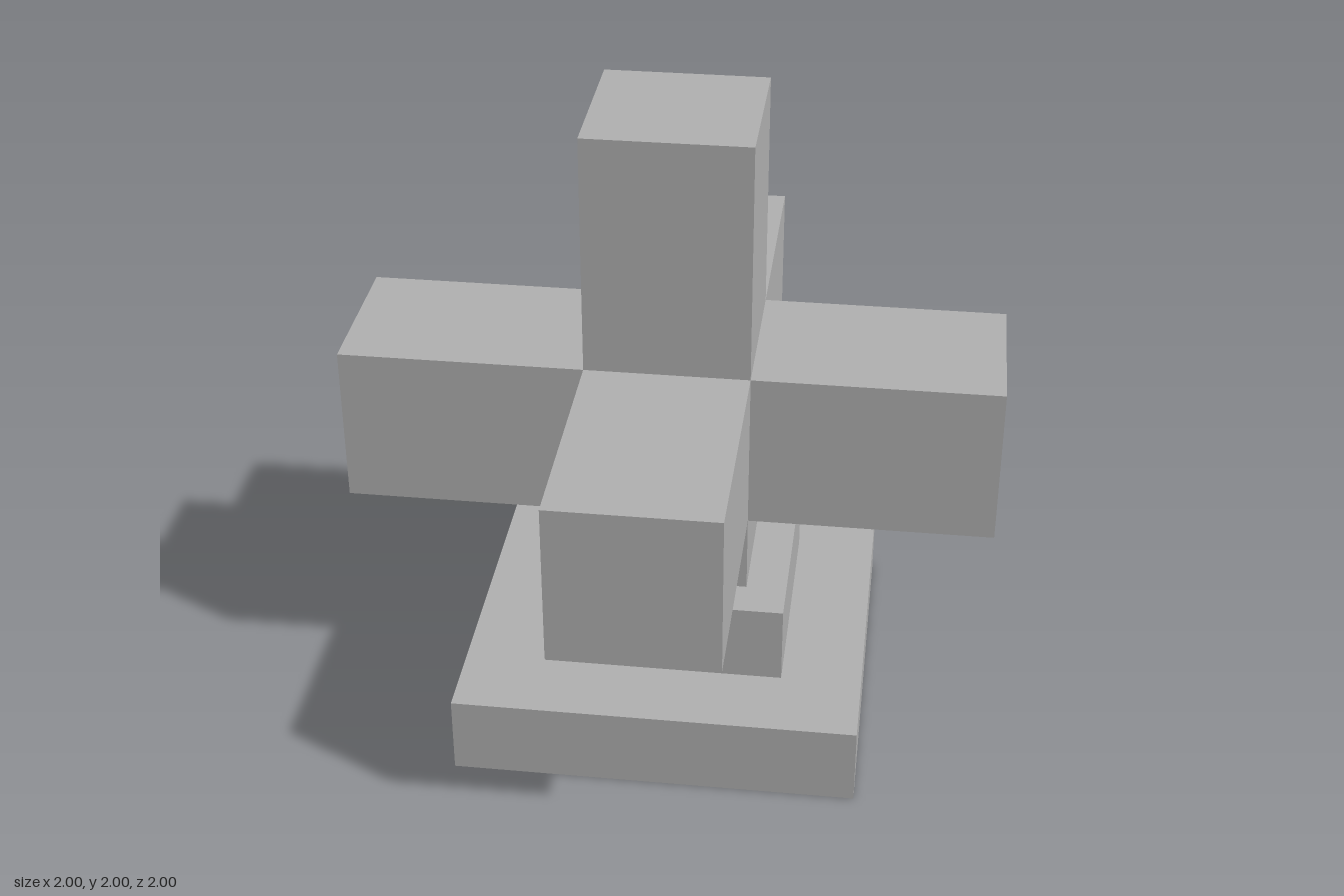
import * as THREE from 'three';

export function createModel() {
  const model = new THREE.Group();
  model.name = 'steppedCrossMonument';
  const stone = new THREE.MeshStandardMaterial({ color: 0xb2b2b2 });
  stone.name = 'stone grey';

  // Square block standing on height y
  function block(name, width, height, y) {
    const mesh = new THREE.Mesh(new THREE.BoxGeometry(width, height, width), stone);
    mesh.name = name;
    mesh.position.y = y + height / 2;
    model.add(mesh);
  }

  // Stepped base and upright column
  block('lowerStep', 1.25, 0.25, 0);
  block('upperStep', 0.75, 0.25, 0.25);
  block('column', 0.5, 1.5, 0.5);

  // Four equal arms around the column
  const armGeometry = new THREE.BoxGeometry(0.5, 0.5, 0.75).translate(0, 1, 0.625);
  ['frontArm', 'leftArm', 'backArm', 'rightArm'].forEach((name, i) => {
    const arm = new THREE.Mesh(armGeometry, stone);
    arm.name = name;
    arm.rotation.y = (i * Math.PI) / 2;
    model.add(arm);
  });

  return model;
}
